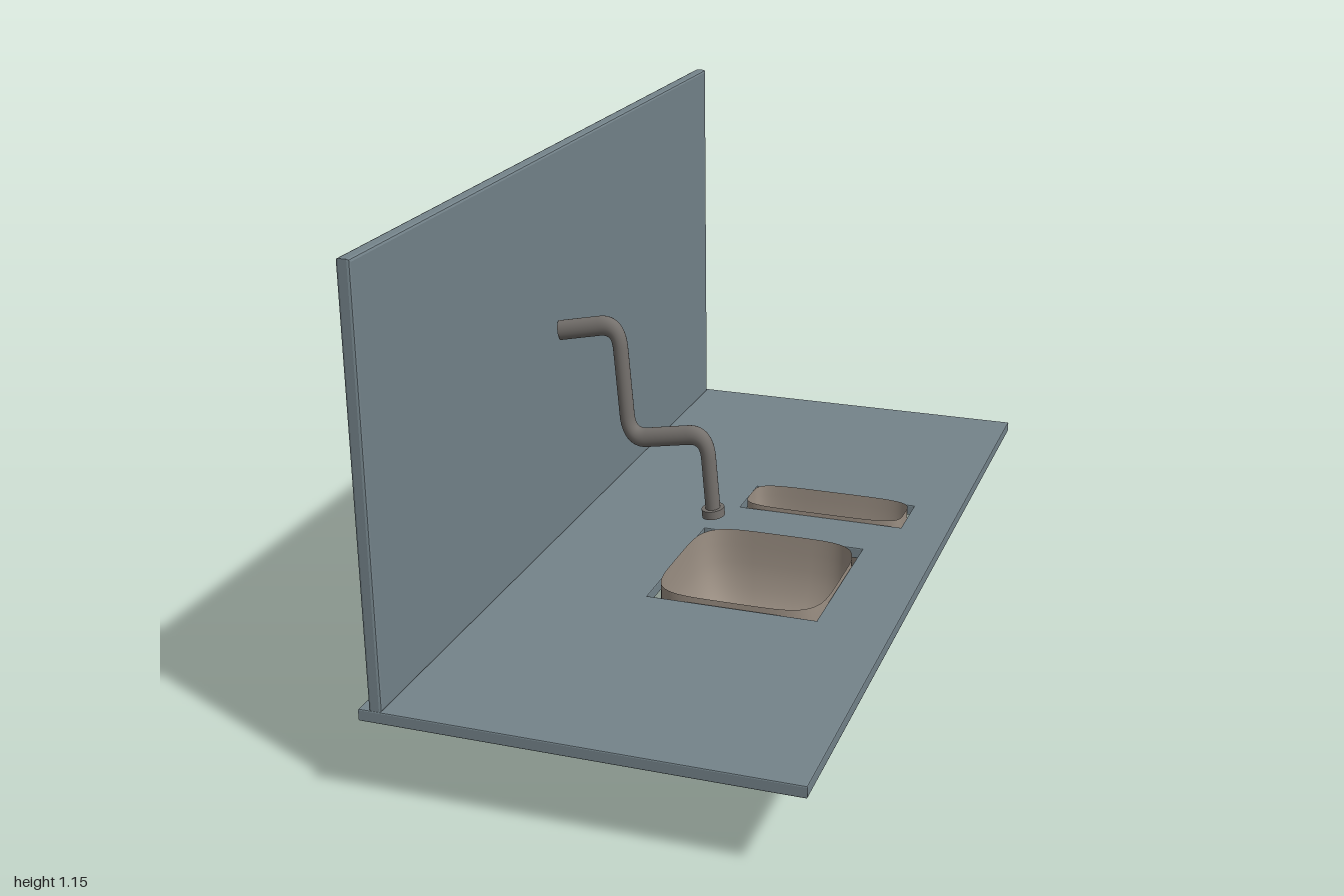
import * as THREE from 'three';

const slate = new THREE.MeshStandardMaterial({ color: 0x74838a });
const clay = new THREE.MeshStandardMaterial({ color: 0x9c9084, side: THREE.DoubleSide });
const metal = new THREE.MeshStandardMaterial({ color: 0x74706c, side: THREE.DoubleSide });

function rectPath(path, x0, y0, x1, y1) {
  return path.moveTo(x0, y0).lineTo(x1, y0).lineTo(x1, y1).lineTo(x0, y1).closePath();
}

// Flat slab with softened edges and optional rectangular openings
function slab(rect, holes, thickness, bevel) {
  const shape = rectPath(new THREE.Shape(), ...rect);
  holes.forEach(h => shape.holes.push(rectPath(new THREE.Path(), ...h)));
  const geo = new THREE.ExtrudeGeometry(shape, {
    depth: thickness - 2 * bevel, bevelThickness: bevel, bevelSize: bevel,
    bevelOffset: -bevel, bevelSegments: 2,
  });
  return geo.translate(0, 0, bevel);
}

// Open bowl lofted from rounded-square rings: [height fraction, inset fraction]
const bowlProfile = [
  [1, 0], [0.82, 0], [0.63, 0.02], [0.5, 0.07], [0.36, 0.15], [0.22, 0.29],
  [0.11, 0.48], [0.04, 0.73], [0.01, 1], [0, 1.2],
];
function bowl(halfX, halfZ, insetX, insetZ, bottom, top) {
  const n = 64, pos = [], index = [];
  const power = (v, p) => Math.sign(v) * Math.abs(v) ** p;
  bowlProfile.forEach(([h, inset]) => {
    for (let i = 0; i < n; i++) {
      const a = (i / n) * Math.PI * 2;
      pos.push((halfX - inset * insetX) * power(Math.cos(a), 0.42),
        bottom + h * (top - bottom),
        (halfZ - inset * insetZ) * power(Math.sin(a), 0.42));
    }
  });
  const rings = bowlProfile.length;
  for (let r = 0; r < rings - 1; r++) {
    for (let i = 0; i < n; i++) {
      const a = r * n + i, b = r * n + (i + 1) % n;
      index.push(a, b, a + n, b, b + n, a + n);
    }
  }
  // Floor of the bowl
  pos.push(0, bottom, 0);
  for (let i = 0; i < n; i++) {
    index.push((rings - 1) * n + i, (rings - 1) * n + (i + 1) % n, rings * n);
  }
  const geo = new THREE.BufferGeometry();
  geo.setAttribute('position', new THREE.Float32BufferAttribute(pos, 3));
  // Turn the faces outward
  for (let i = 0; i < index.length; i += 3) {
    const [a, b, c] = [index[i], index[i + 1], index[i + 2]].map(
      k => new THREE.Vector3(pos[k * 3], pos[k * 3 + 1], pos[k * 3 + 2]));
    const normal = b.clone().sub(a).cross(c.clone().sub(a));
    const outward = a.add(b).add(c).divideScalar(3).sub(new THREE.Vector3(0, top, 0));
    if (normal.dot(outward) < 0) [index[i + 1], index[i + 2]] = [index[i + 2], index[i + 1]];
  }
  geo.setIndex(index);
  geo.computeVertexNormals();
  return geo;
}

// Straight runs joined by rounded bends
function bentPath(points, radius) {
  const path = new THREE.CurvePath();
  let from = points[0];
  for (let i = 1; i < points.length - 1; i++) {
    const p = points[i];
    const toward = q => p.clone().add(q.clone().sub(p).setLength(radius));
    const start = toward(points[i - 1]), end = toward(points[i + 1]);
    path.add(new THREE.LineCurve3(from, start));
    path.add(new THREE.QuadraticBezierCurve3(start, p, end));
    from = end;
  }
  path.add(new THREE.LineCurve3(from, points[points.length - 1]));
  return path;
}

export function createModel() {
  const model = new THREE.Group();
  const add = (parent, name, geo, material) => {
    const mesh = new THREE.Mesh(geo, material);
    mesh.name = name;
    parent.add(mesh);
    return mesh;
  };

  // Countertop with two cut-outs
  const top = slab([-0.466, -1, 0.466, 1],
    [[-0.1, -0.055, 0.295, 0.34], [-0.058, -0.345, 0.352, -0.205]], 0.027, 0.003);
  add(model, 'countertop', top.rotateX(Math.PI / 2), slate).position.y = 0.225;

  // Upright splash panel along the -x edge
  const panel = slab([-0.985, 0.225, 1, 1.158], [], 0.03, 0.006);
  add(model, 'backsplash', panel.rotateY(-Math.PI / 2), slate).position.x = -0.413;

  // Basins
  add(model, 'mainBasin', bowl(0.196, 0.193, 0.085, 0.085, 0.004, 0.235), clay)
    .position.set(0.098, 0, 0.142);
  add(model, 'smallBasin', bowl(0.198, 0.07, 0.06, 0.04, 0.085, 0.235), clay)
    .position.set(0.147, 0, -0.273);

  // Tap, stretched upward so its pipe has an oval section
  const stretch = 1.35;
  const tap = new THREE.Group();
  tap.name = 'tap';
  tap.scale.y = stretch;
  model.add(tap);
  const points = [
    [-0.405, 0.739, 0.078], [-0.265, 0.765, 0.066], [-0.246, 0.482, 0.058],
    [-0.056, 0.514, 0.054], [-0.043, 0.318, 0.046],
  ].map(([x, y, z]) => new THREE.Vector3(x, y / stretch, z));
  add(tap, 'pipe', new THREE.TubeGeometry(bentPath(points, 0.045), 160, 0.0175, 20), metal);

  // Cap at the wall end, collar at the spout
  const along = (mesh, a, b) => mesh.quaternion.setFromUnitVectors(
    new THREE.Vector3(0, 1, 0), b.clone().sub(a).normalize());
  const cap = add(tap, 'wallEnd', new THREE.CylinderGeometry(0.0175, 0.0175, 0.002, 20), metal);
  cap.position.copy(points[0]);
  along(cap, points[0], points[1]);
  const collar = add(tap, 'spoutCollar', new THREE.CylinderGeometry(0.027, 0.027, 0.015, 24), metal);
  collar.position.copy(points[4]);
  along(collar, points[4], points[3]);

  return model;
}
